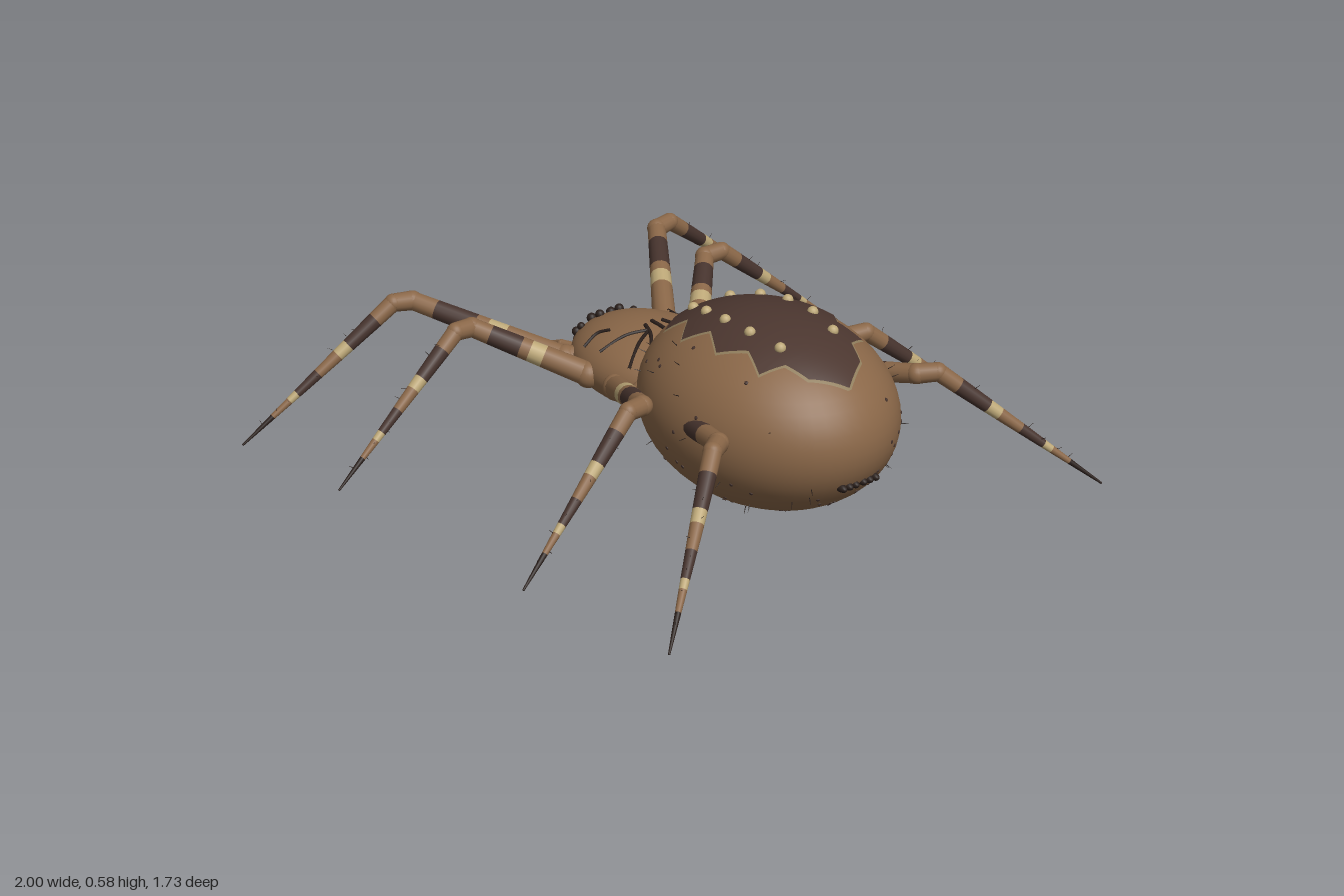
import * as THREE from 'three';

const mat = (name, color, side = THREE.FrontSide) => {
  const m = new THREE.MeshStandardMaterial({ color, side });
  m.name = name;
  return m;
};
const V = (x, y, z) => new THREE.Vector3(x, y, z);
const UP = V(0, 1, 0);

// Ellipsoids of the body
const ABDOMEN = { c: V(0, 0.295, 0.315), r: V(0.33, 0.275, 0.415) };
const HEAD = { c: V(0, 0.24, -0.215), r: V(0.21, 0.12, 0.27) };

// Point on the upper surface of an ellipsoid above (x, z)
function onTop(e, x, z, lift = 0) {
  const u = (x - e.c.x) / e.r.x, w = (z - e.c.z) / e.r.z;
  const y = e.c.y + e.r.y * Math.sqrt(Math.max(0, 1 - u * u - w * w));
  return V(x, y, z).addScaledVector(normalAt(e, V(x, y, z)), lift);
}
function normalAt(e, p) {
  return p.clone().sub(e.c).divide(e.r).divide(e.r).normalize();
}

export function createModel() {
  const root = new THREE.Group();
  root.name = 'spider';
  const brown = mat('brown', 0x8a6748);
  const dark = mat('darkBrown', 0x46332d);
  const pale = mat('paleTan', 0xbda878);
  const black = mat('nearBlack', 0x2a1f1b);
  const darkPatch = mat('patchBrown', 0x4b362f, THREE.DoubleSide);
  const edge = mat('patchEdge', 0x8f7d5c, THREE.DoubleSide);

  let seed = 7;
  const rand = () => (seed = (seed * 16807) % 2147483647) / 2147483647;

  const add = (parent, name, geo, m) => {
    const mesh = new THREE.Mesh(geo, m);
    mesh.name = name;
    parent.add(mesh);
    return mesh;
  };
  const ball = (parent, name, p, r, m, seg = 12) => {
    const mesh = add(parent, name, new THREE.SphereGeometry(1, seg * 2, seg), m);
    mesh.position.copy(p);
    if (r.isVector3) mesh.scale.copy(r); else mesh.scale.setScalar(r);
    return mesh;
  };
  const rod = (parent, name, a, b, ra, rb, m, seg = 14) => {
    const d = b.clone().sub(a);
    const mesh = add(parent, name, new THREE.CylinderGeometry(rb, ra, d.length(), seg), m);
    mesh.position.copy(a).lerp(b, 0.5);
    mesh.quaternion.setFromUnitVectors(UP, d.normalize());
    return mesh;
  };
  const tube = (parent, name, pts, r, m) =>
    add(parent, name, new THREE.TubeGeometry(new THREE.CatmullRomCurve3(pts), 12, r, 6), m);

  // Body
  ball(root, 'abdomen', ABDOMEN.c, ABDOMEN.r, brown, 28);
  ball(root, 'cephalothorax', HEAD.c, HEAD.r, brown, 24);

  // Zigzag patch on the back: half-width against z, wrapped on the abdomen
  const outline = [[0, -0.06], [0.08, 0.02], [0.165, 0.07], [0.135, 0.135], [0.205, 0.195], [0.16, 0.265],
    [0.205, 0.345], [0.155, 0.42], [0.18, 0.495], [0.115, 0.525], [0.09, 0.59], [0, 0.65]];
  function patch(name, grow, lift, m) {
    const pos = [], idx = [], n = 14, sub = 5;
    const z0 = outline[0][1], z1 = outline[outline.length - 1][1];
    let row = 0;
    outline.forEach(([w, z], i) => {
      const last = i === outline.length - 1;
      const [w2, z2] = last ? [w, z] : outline[i + 1];
      for (let s = 0; s < (last ? 1 : sub); s++, row++) {
        const t = s / sub;
        const mid = (z0 + z1) / 2;
        const zz = mid + (z + (z2 - z) * t - mid) * (1 + grow * 2);
        const hw = w + (w2 - w) * t + grow;
        for (let k = 0; k <= n; k++) pos.push(...onTop(ABDOMEN, hw * (2 * k / n - 1), zz, lift).toArray());
        if (row) for (let k = 0; k < n; k++) {
          const a = (row - 1) * (n + 1) + k, b = a + n + 1;
          idx.push(a, b, a + 1, a + 1, b, b + 1);
        }
      }
    });
    const g = new THREE.BufferGeometry();
    g.setAttribute('position', new THREE.Float32BufferAttribute(pos, 3));
    g.setIndex(idx);
    g.computeVertexNormals();
    add(root, name, g, m);
  }
  patch('backPatchEdge', 0.006, 0.003, edge);
  patch('backPatch', 0, 0.006, darkPatch);

  // Pale spots in pairs along the patch
  for (const [x, z] of [[0.065, 0.07], [0.095, 0.165], [0.11, 0.265], [0.11, 0.37], [0.092, 0.475]])
    for (const s of [-1, 1]) ball(root, 'backSpot', onTop(ABDOMEN, s * x, z, 0.006), 0.016, pale, 8);

  // Freckles and short bristles scattered over the abdomen
  for (let i = 0; i < 190; i++) {
    const a = rand() * Math.PI * 2, h = rand() * 1.9 - 0.95, q = Math.sqrt(1 - h * h);
    const p = V(q * Math.cos(a), q * Math.sin(a), h).multiply(ABDOMEN.r).add(ABDOMEN.c);
    const n = normalAt(ABDOMEN, p);
    if (n.y > 0.5 && Math.abs(p.x) < 0.21) continue;
    if (i % 3) {
      const f = ball(root, 'freckle', p, V(0.006, 0.0025, 0.006), dark, 4);
      f.quaternion.setFromUnitVectors(UP, n);
    } else {
      rod(root, 'bristle', p, p.clone().addScaledVector(n, 0.022), 0.0015, 0.0005, black, 4);
    }
  }

  // Spinnerets at the rear
  for (const x of [-0.058, -0.036, -0.014, 0.014, 0.036, 0.058])
    ball(root, 'spinneret', V(x, 0.197, 0.695), V(0.012, 0.012, 0.022), black, 8);

  // Groove lines on the carapace
  const line = (name, pts, r) => tube(root, name, pts.map(([x, z]) => onTop(HEAD, x, z, 0.003)), r, black);
  line('centreGroove', [[0, -0.21], [0, -0.16], [0, -0.1]], 0.006);

  for (const s of [-1, 1]) {
    line('sideGroove', [[s * 0.03, -0.2], [s * 0.05, -0.15], [s * 0.085, -0.1]], 0.006);
    line('sideGroove', [[s * 0.04, -0.17], [s * 0.1, -0.2], [s * 0.175, -0.225]], 0.005);
    line('sideGroove', [[s * 0.04, -0.17], [s * 0.1, -0.14], [s * 0.165, -0.1]], 0.005);
    line('browLine', [[s * 0.105, -0.265], [s * 0.13, -0.295], [s * 0.175, -0.3]], 0.005);

    // Eyes
    for (const [x, z, r] of [[0.035, -0.41, 0.014], [0.035, -0.45, 0.015], [0.088, -0.452, 0.014], [0.095, -0.42, 0.012]])
      ball(root, 'eye', onTop(HEAD, s * x, Math.max(z, -0.455), 0.004), r, black, 8);

    // Jaws with hooked fangs
    ball(root, 'jaw', V(s * 0.05, 0.215, -0.48), V(0.025, 0.035, 0.035), dark);
    tube(root, 'fang', [V(s * 0.05, 0.21, -0.5), V(s * 0.054, 0.19, -0.53), V(s * 0.042, 0.18, -0.547),
      V(s * 0.022, 0.175, -0.54)], 0.006, black);

    // Feelers, forked at the end
    const palp = [V(s * 0.09, 0.22, -0.43), V(s * 0.12, 0.225, -0.49), V(s * 0.112, 0.2, -0.56)];
    rod(root, 'feeler', palp[0], palp[1], 0.017, 0.014, brown, 10);
    rod(root, 'feeler', palp[1], palp[2], 0.013, 0.009, brown, 10);
    ball(root, 'feelerJoint', palp[1], 0.014, brown, 8);
    for (const x of [0.09, 0.118])
      tube(root, 'feelerTip', [palp[2], V(s * (x + 0.004), 0.192, -0.59), V(s * x, 0.185, -0.615)], 0.004, black);
  }

  // Legs: banded limbs, each band given as [start, end, material]
  function limb(parent, name, a, b, radius, bands) {
    for (const [t0, t1, m] of bands)
      rod(parent, name, a.clone().lerp(b, t0), a.clone().lerp(b, t1), radius(t0), radius(t1), m);
  }
  const femurBands = [[0, 0.38, brown], [0.38, 0.5, pale], [0.5, 0.58, brown], [0.58, 0.84, dark], [0.84, 1, brown]];
  const shinBands = [[0, 0.12, brown], [0.12, 0.3, dark], [0.3, 0.37, pale], [0.37, 0.5, brown],
    [0.5, 0.64, dark], [0.64, 0.69, pale], [0.69, 0.8, brown], [0.8, 1, black]];
  const legs = [
    { name: 'firstLeg', base: [0.185, 0.235, -0.385], knee: [0.455, 0.36, -0.77], tip: [0.997, 0.015, -0.866] },
    { name: 'secondLeg', base: [0.2, 0.235, -0.25], knee: [0.43, 0.36, -0.5], tip: [0.935, 0.015, -0.445] },
    { name: 'thirdLeg', base: [0.19, 0.235, -0.13], knee: [0.37, 0.36, 0.225], tip: [0.87, 0.015, 0.355] },
    { name: 'fourthLeg', base: [0.17, 0.245, -0.03], knee: [0.355, 0.36, 0.535], tip: [0.778, 0.015, 0.862] },
  ];
  for (const s of [-1, 1]) for (const L of legs) {
    const g = new THREE.Group();
    g.name = (s > 0 ? 'left ' : 'right ') + L.name;
    root.add(g);
    const P = ([x, y, z]) => V(s * x, y, z);
    const base = P(L.base), knee = P(L.knee), tip = P(L.tip);
    const out = tip.clone().sub(knee).setY(0).normalize();
    const shin = knee.clone().addScaledVector(out, 0.06).setY(0.365);
    const inner = V(s * 0.08, 0.22, base.z * 0.6 - 0.09);
    rod(g, 'hip', inner, base, 0.04, 0.038, brown);
    ball(g, 'hipJoint', base, 0.04, brown);
    limb(g, 'thigh', base, knee, t => 0.036 - 0.008 * t, femurBands);
    ball(g, 'kneeJoint', knee, 0.03, brown);
    rod(g, 'knee', knee, shin, 0.029, 0.027, brown);
    ball(g, 'shinJoint', shin, 0.027, brown);
    limb(g, 'shin', shin, tip, t => 0.026 - 0.023 * Math.pow(t, 1.2), shinBands);
    // Fine bristles along the shin
    for (let i = 0; i < 10; i++) {
      const p = shin.clone().lerp(tip, 0.1 + 0.085 * i);
      const d = V(rand() - 0.5, rand() - 0.3, rand() - 0.5).normalize().addScaledVector(out, 0.4);
      rod(g, 'legBristle', p, p.clone().addScaledVector(d, 0.036 - 0.002 * i), 0.0015, 0.0005, black, 4);
    }
  }
  return root;
}
